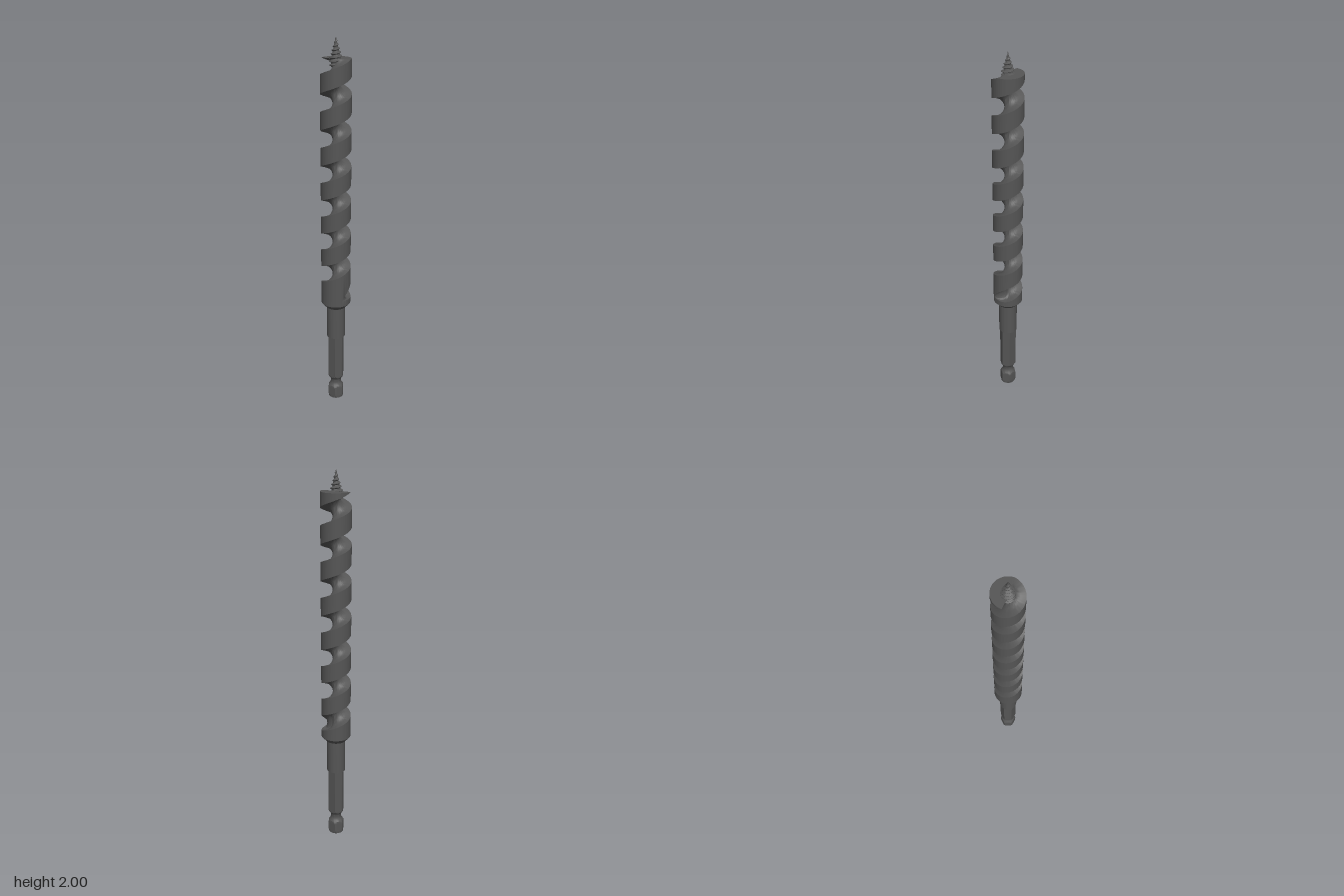
import * as THREE from 'three';
import { toCreasedNormals } from 'three/addons/utils/BufferGeometryUtils.js';

const TAU = Math.PI * 2;
const steel = new THREE.MeshStandardMaterial({ color: 0x555555 });

function addPart(group, name, geometry, crease = 0.6) {
  const mesh = new THREE.Mesh(toCreasedNormals(geometry, crease), steel);
  mesh.name = name;
  group.add(mesh);
}

// Radius of an outline of [r, y] points (y never falls) at height y
function radiusAt(points, y) {
  for (let i = 1; i < points.length; i++) {
    const [r0, y0] = points[i - 1], [r1, y1] = points[i];
    if (y1 >= y && y1 > y0) return r0 + (r1 - r0) * Math.max(0, (y - y0) / (y1 - y0));
  }
  return points[points.length - 1][0];
}

// Right-handed screw body: section(u) gives one turn's outline at u turns,
// and the stacked turns are cut flat at the heights bottom and top.
function helixBody(bottom, top, firstTurn, lastTurn, segments, section) {
  const columns = [];
  for (let i = 0; i <= segments; i++) {
    const outline = [];
    for (let k = firstTurn; k <= lastTurn; k++) outline.push(...section(k + i / segments));
    const rBottom = radiusAt(outline, bottom), rTop = radiusAt(outline, top);
    const cut = outline.map(([r, y]) => (y > top ? [rTop, top] : y < bottom ? [rBottom, bottom] : [r, y]));
    const angle = (i / segments) * TAU;
    columns.push([[0, bottom], ...cut, [0, top]].map(([r, y]) =>
      new THREE.Vector3(r * Math.sin(angle), y, r * Math.cos(angle))));
  }
  const positions = [];
  const triangle = (a, b, c) => {
    if (new THREE.Triangle(a, b, c).getArea() < 1e-9) return;
    for (const p of [a, b, c]) positions.push(p.x, p.y, p.z);
  };
  for (let i = 0; i < segments; i++) {
    const left = columns[i], right = columns[i + 1];
    for (let j = 0; j < left.length - 1; j++) {
      triangle(left[j], right[j], right[j + 1]);
      triangle(left[j], right[j + 1], left[j + 1]);
    }
  }
  const geometry = new THREE.BufferGeometry();
  geometry.setAttribute('position', new THREE.Float32BufferAttribute(positions, 3));
  return geometry;
}

// One turn of the flute: a U-shaped groove that runs out at its lower end
const R = 0.078, CORE = 0.017, HALF = 0.045, PITCH = 0.184;
function fluteSection(u) {
  const fade = THREE.MathUtils.smoothstep(u, 0.08, 0.32);
  const centre = 0.617 + PITCH * u;
  const bend = 0.052;
  const groove = [[R, -HALF]];
  for (let i = 0; i <= 12; i++) {
    const a = (i / 12 - 0.5) * Math.PI;
    groove.push([bend - (bend - CORE) * Math.cos(a), HALF * Math.sin(a)]);
  }
  groove.push([R, HALF]);
  return groove.map(([r, h]) => [R - (R - r) * fade, centre + h * Math.sqrt(fade)]);
}

// One turn of the tapered lead screw thread
function threadSection(u) {
  const pitch = 0.018, y = 1.85 + pitch * u;
  const root = (h) => Math.min(0.024, Math.max(0, (2 - h) * 0.22));
  const crest = Math.min(0.033, Math.max(0, (2 - y) * 0.33));
  return [[root(y - 0.006), y - 0.006], [crest, y - 0.001], [crest, y + 0.001], [root(y + 0.006), y + 0.006]];
}

const lathe = (profile, segments = 48) =>
  new THREE.LatheGeometry(profile.map(([r, y]) => new THREE.Vector2(r, y)), segments);

// Turned profile trimmed by a hexagon with corners on the z axis
function hexLathe(profile, corner) {
  const geometry = lathe(profile);
  const p = geometry.attributes.position;
  const apothem = corner * Math.cos(Math.PI / 6);
  for (let i = 0; i < p.count; i++) {
    const x = p.getX(i), z = p.getZ(i), r = Math.hypot(x, z);
    if (r === 0) continue;
    const a = ((Math.atan2(x, z) + TAU) % (TAU / 6)) - Math.PI / 6;
    const scale = Math.min(1, apothem / Math.cos(a) / r);
    p.setXYZ(i, x * scale, p.getY(i), z * scale);
  }
  return geometry;
}

export function createModel() {
  const group = new THREE.Group();
  group.name = 'augerBit';

  // Hexagonal shank with the locking neck
  addPart(group, 'hexShank', hexLathe([
    [0, 0], [0.039, 0], [0.043, 0.008], [0.046, 0.02], [0.046, 0.058], [0.043, 0.066], [0.039, 0.073],
    [0.033, 0.081], [0.029, 0.09], [0.028, 0.1], [0.029, 0.11], [0.033, 0.119],
    [0.039, 0.127], [0.043, 0.133], [0.046, 0.14], [0.046, 0.39],
  ], 0.0455), 0.4);

  // Round shank and the chamfered shoulder below the flute
  addPart(group, 'roundShank', lathe([[0, 0.385], [0.049, 0.385], [0.049, 0.568]]));
  addPart(group, 'shoulder', lathe([[0.049, 0.566], [0.054, 0.566], [R, 0.592], [R, 0.602]], 96), 0.4);

  // Spiral flute, ending in the cutting lip
  addPart(group, 'spiralFlute', helixBody(0.6, 1.895, -2, 8, 96, fluteSection));

  // Lead screw at the tip
  addPart(group, 'leadScrew', helixBody(1.855, 2, -2, 10, 48, threadSection));

  return group;
}
